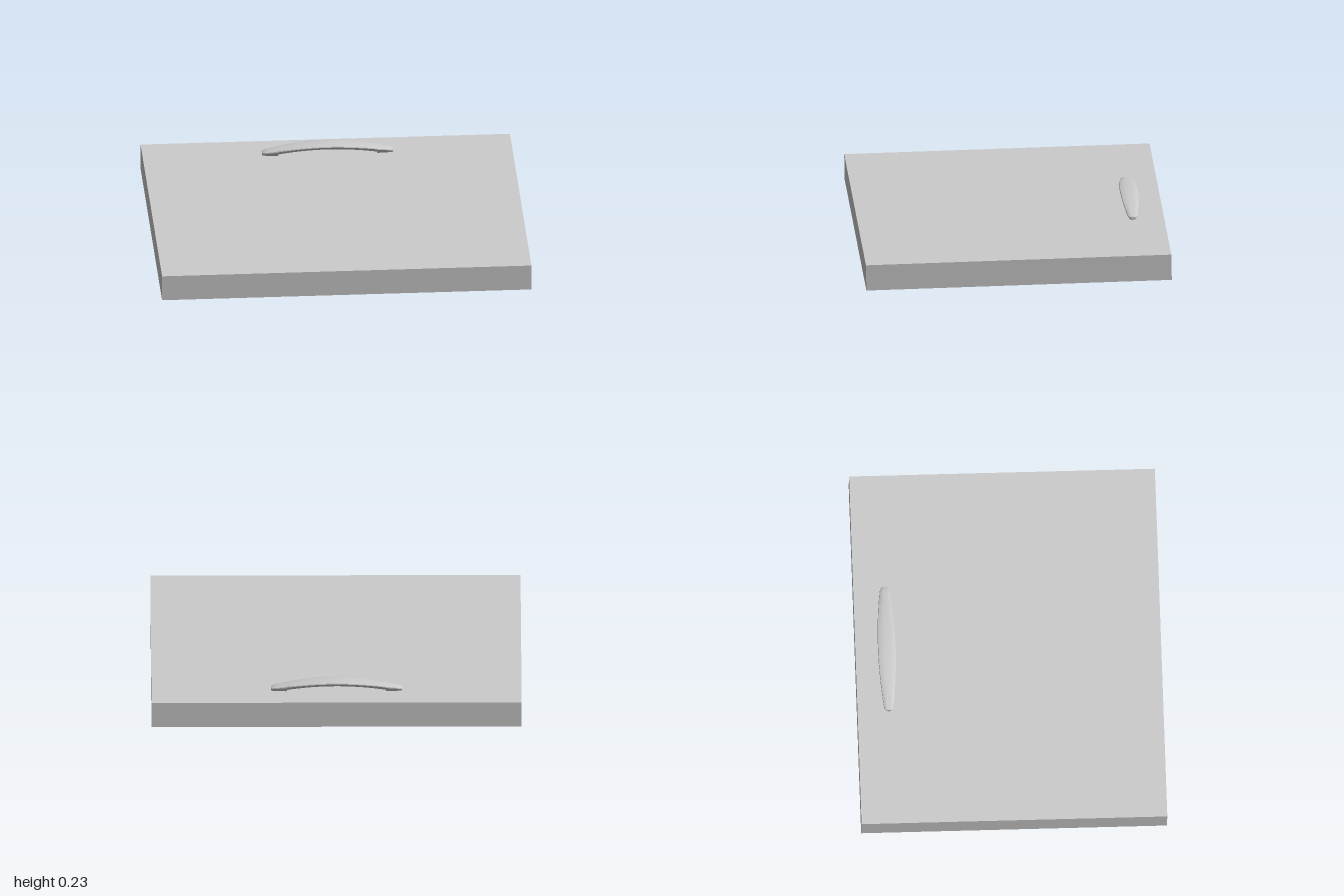
import * as THREE from 'three';
import { toCreasedNormals } from 'three/addons/utils/BufferGeometryUtils.js';

const WIDTH = 2, HEIGHT = 0.143, DEPTH = 1.653, TILT = 0.0182;

// Half cross-section of the grip: [share of width, share of height]
const HALF = [[0.29, 0], [0.4, 0.3], [0.5, 0.65], [0.48, 0.82], [0.36, 0.95], [0.15, 1]];
const RING = [...HALF, ...HALF.map(([z, y]) => [-z, y]).reverse()].reverse();

// Bowed grip, lofted along x from tapering sections
function handleGeometry() {
  const half = 0.355, foot = 0.27;
  const right = [0.355, 0.35, 0.34, 0.32, 0.295, 0.27, 0.265];
  for (let i = 1; i <= 12; i++) right.push(0.265 * (1 - i / 12));
  const xs = [...right.map((x) => -x), ...right.slice(0, -1).reverse()];
  const pos = [], index = [], n = RING.length;

  for (const x of xs) {
    const a = Math.abs(x), t = a / half;
    const round = Math.sqrt(Math.max(0, 1 - Math.max(0, (a - 0.33) / 0.025) ** 2));
    const width = (0.048 + 0.05 * (1 - t * t)) * (0.55 + 0.45 * round);
    const top = 0.021 + 0.042 * (1 - t ** 1.8) - 0.004 * (1 - round);
    const bottom = a >= foot ? -0.001 : 0.007 + 0.026 * (1 - (a / foot) ** 2);
    for (const [z, y] of RING) pos.push(x, bottom + y * (top - bottom), -z * width);
  }
  for (let i = 0; i < xs.length - 1; i++) {
    for (let j = 0; j < n; j++) {
      const k = (j + 1) % n;
      const a = i * n + j, b = i * n + k, c = b + n, d = a + n;
      index.push(a, d, c, a, c, b);
    }
  }
  // End caps
  const last = (xs.length - 1) * n;
  for (let j = 1; j < n - 1; j++) index.push(0, j, j + 1, last, last + j + 1, last + j);

  const geo = new THREE.BufferGeometry();
  geo.setAttribute('position', new THREE.Float32BufferAttribute(pos, 3));
  geo.setIndex(index);
  return toCreasedNormals(geo, 0.6);
}

export function createModel() {
  const material = new THREE.MeshStandardMaterial({ color: 0xcccccc });
  const model = new THREE.Group();
  model.name = 'drawerFront';

  // Slab, tipped slightly so the back edge is raised
  const panel = new THREE.Mesh(new THREE.BoxGeometry(WIDTH, HEIGHT, DEPTH), material);
  panel.name = 'panel';

  // Grip near the back edge
  const handle = new THREE.Mesh(handleGeometry(), material);
  handle.name = 'handle';
  handle.position.set(0, HEIGHT / 2, -0.657);

  const tilted = new THREE.Group();
  tilted.name = 'tiltedAssembly';
  tilted.add(panel, handle);
  tilted.rotation.x = TILT;
  tilted.position.y = (HEIGHT * Math.cos(TILT) + DEPTH * Math.sin(TILT)) / 2;
  model.add(tilted);
  return model;
}
